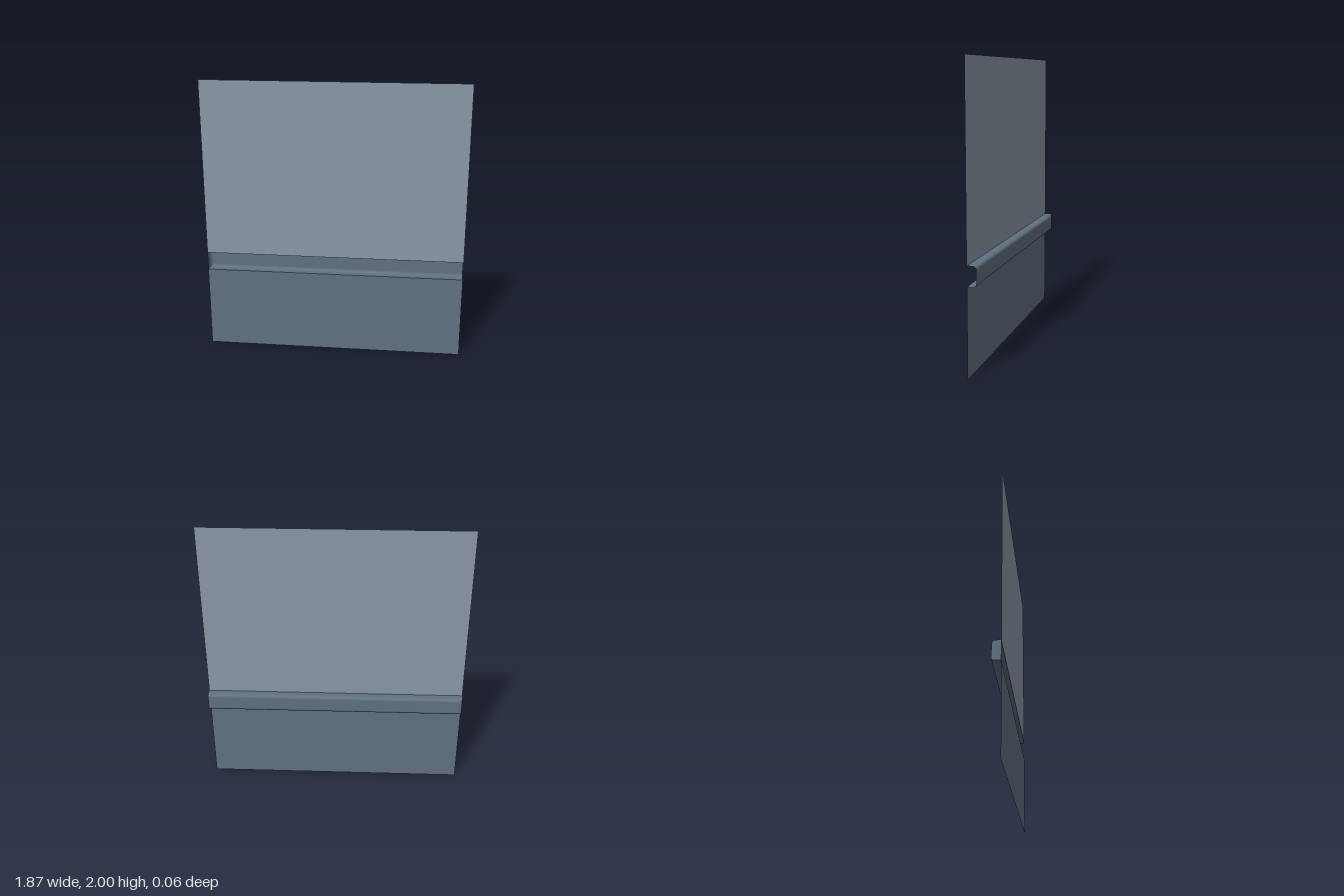
import * as THREE from 'three';

const HALF_W = 0.935, HEIGHT = 2, FRONT = 0.031, BACK = -0.031;
const LOW = 0.6, HIGH = 0.732, RADIUS = 0.024, STEPS = 10;

// One wall of the channel, running from a to b at the front and curving into the floor.
// insetA and insetB move the ends as the wall curves in, which mitres the corners.
function channelWall(a, b, inward, insetA, insetB) {
  const rows = [[0, FRONT, 0]];
  for (let i = 0; i <= STEPS; i++) {
    const t = (i / STEPS) * Math.PI / 2;
    rows.push([RADIUS * (1 - Math.cos(t)), BACK + RADIUS * (1 - Math.sin(t)), t]);
  }
  const positions = [], normals = [], index = [];
  rows.forEach(([d, z, t], i) => {
    for (const [p, inset] of [[a, insetA], [b, insetB]]) {
      positions.push(p[0] + inset[0] * d, p[1] + inset[1] * d, z);
      normals.push(inward[0] * Math.cos(t), inward[1] * Math.cos(t), Math.sin(t));
    }
    if (i > 0) {
      const k = 2 * i;
      index.push(k - 2, k - 1, k + 1, k - 2, k + 1, k);
    }
  });
  const geometry = new THREE.BufferGeometry();
  geometry.setAttribute('position', new THREE.Float32BufferAttribute(positions, 3));
  geometry.setAttribute('normal', new THREE.Float32BufferAttribute(normals, 3));
  geometry.setIndex(index);
  return geometry;
}

// Flat sheet facing +z between two corners
function sheet(x0, x1, y0, y1, z) {
  return new THREE.PlaneGeometry(x1 - x0, y1 - y0).translate((x0 + x1) / 2, (y0 + y1) / 2, z);
}

export function createModel() {
  const group = new THREE.Group();
  const lightPanel = new THREE.MeshStandardMaterial({ name: 'light grey blue', color: 0x8c99a8, side: THREE.DoubleSide });
  const darkPanel = new THREE.MeshStandardMaterial({ name: 'dark slate blue', color: 0x617181, side: THREE.DoubleSide });

  const add = (name, geometry, material) => {
    const mesh = new THREE.Mesh(geometry, material);
    mesh.name = name;
    group.add(mesh);
  };

  // Flat panels above and below the channel
  add('upperPanel', sheet(-HALF_W, HALF_W, HIGH, HEIGHT, FRONT), lightPanel);
  add('lowerPanel', sheet(-HALF_W, HALF_W, 0, LOW, FRONT), darkPanel);

  // Recessed channel, open at +x and closed at -x
  const lowClosed = [-HALF_W, LOW], lowOpen = [HALF_W, LOW];
  const highClosed = [-HALF_W, HIGH], highOpen = [HALF_W, HIGH];
  add('channelBottom', channelWall(lowOpen, lowClosed, [0, 1], [0, 1], [1, 1]), darkPanel);
  add('channelEnd', channelWall(lowClosed, highClosed, [1, 0], [1, 1], [1, -1]), darkPanel);
  add('channelTop', channelWall(highClosed, highOpen, [0, -1], [1, -1], [0, -1]), darkPanel);
  add('channelFloor', sheet(-HALF_W + RADIUS, HALF_W, LOW + RADIUS, HIGH - RADIUS, BACK), darkPanel);

  // Wind the walls so that their fronts face into the channel
  for (const mesh of group.children) {
    const { index, attributes: { position, normal } } = mesh.geometry;
    const [p, q, r] = [0, 1, 2].map((i) => new THREE.Vector3().fromBufferAttribute(position, index.getX(i)));
    const face = q.sub(p).cross(r.sub(p));
    if (face.dot(new THREE.Vector3().fromBufferAttribute(normal, 0)) < 0) index.array.reverse();
  }
  return group;
}
